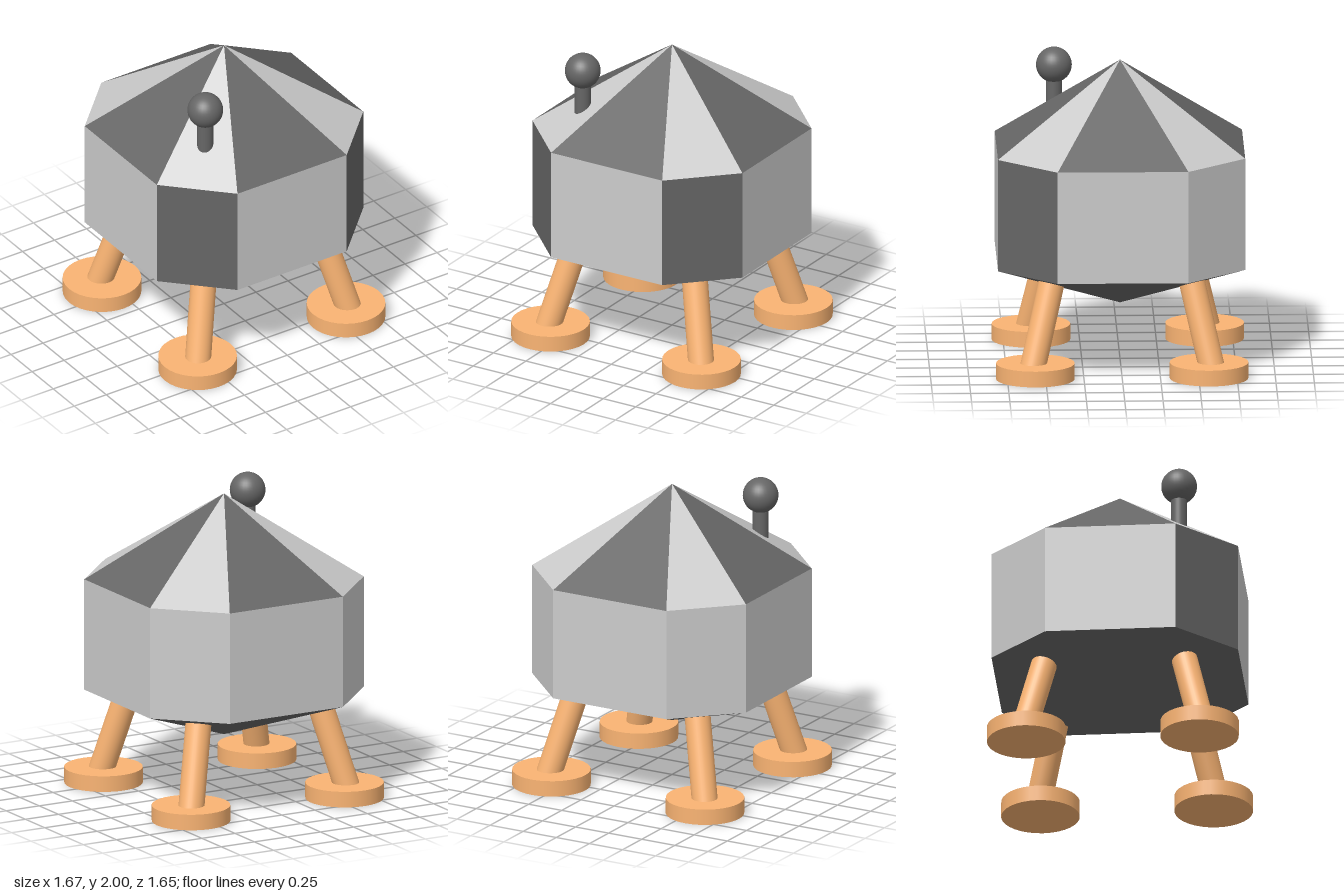
import * as THREE from 'three';

const LONG = 0.807, SHORT = 0.427;              // octagon corner coordinates
const BOTTOM = 0.375, FLOOR = 0.685, EAVES = 1.43, TOP = 2;
const PAD_X = 0.58, PAD_Z = 0.567;

// Corners counter-clockwise seen from above, starting on the front face.
const corners = [
  [-SHORT, LONG], [SHORT, LONG], [LONG, SHORT], [LONG, -SHORT],
  [SHORT, -LONG], [-SHORT, -LONG], [-LONG, -SHORT], [-LONG, SHORT],
];
const corner = (i, y) => {
  const [x, z] = corners[i % 8];
  return new THREE.Vector3(x, y, z);
};

function facetMesh(name, points, material) {
  const geometry = new THREE.BufferGeometry().setFromPoints(points);
  geometry.computeVertexNormals();
  const mesh = new THREE.Mesh(geometry, material);
  mesh.name = name;
  return mesh;
}

// Cylinder running between two points
function rod(name, from, to, radius, material) {
  const axis = to.clone().sub(from);
  const mesh = new THREE.Mesh(new THREE.CylinderGeometry(radius, radius, axis.length(), 32), material);
  mesh.position.copy(from).add(to).multiplyScalar(0.5);
  mesh.quaternion.setFromUnitVectors(new THREE.Vector3(0, 1, 0), axis.normalize());
  mesh.name = name;
  return mesh;
}

export function createModel() {
  const model = new THREE.Group();
  model.name = 'landerCapsule';
  const light = new THREE.MeshStandardMaterial({ color: 0xcccccc, flatShading: true });
  const dark = new THREE.MeshStandardMaterial({ color: 0x666666, flatShading: true });
  const antennaGrey = new THREE.MeshStandardMaterial({ color: 0x666666 });
  const orange = new THREE.MeshStandardMaterial({ color: 0xfab473 });

  // Eight-sided hull: wall panels, roof and underside, sorted by shade
  const apex = new THREE.Vector3(0, TOP, 0);
  const keel = new THREE.Vector3(0, BOTTOM, 0);
  const walls = { light: [], dark: [] }, roof = { light: [], dark: [] }, underside = [];
  for (let i = 0; i < 8; i++) {
    const a = corner(i, FLOOR), b = corner(i + 1, FLOOR);
    const c = corner(i + 1, EAVES), d = corner(i, EAVES);
    const frontDiagonal = i === 1 || i === 7;
    walls[frontDiagonal ? 'dark' : 'light'].push(a, b, c, a, c, d);
    roof[i % 2 ? 'light' : 'dark'].push(d, c, apex);
    underside.push(b, a, keel);
  }
  model.add(
    facetMesh('wallPanels', walls.light, light),
    facetMesh('frontCornerWindows', walls.dark, dark),
    facetMesh('roofCornerPanels', roof.light, light),
    facetMesh('roofMainPanels', roof.dark, dark),
    facetMesh('underside', underside, dark),
  );

  // Four splayed legs with round foot pads
  for (const sx of [-1, 1]) {
    for (const sz of [-1, 1]) {
      const leg = new THREE.Group();
      leg.name = `${sz > 0 ? 'front' : 'back'}${sx > 0 ? 'Left' : 'Right'}Leg`;
      leg.add(rod('strut',
        new THREE.Vector3(sx * 0.59, 0.07, sz * 0.585),
        new THREE.Vector3(sx * 0.46, 0.615, sz * 0.458), 0.085, orange));
      leg.add(rod('footPad',
        new THREE.Vector3(sx * PAD_X, 0, sz * PAD_Z),
        new THREE.Vector3(sx * PAD_X, 0.105, sz * PAD_Z), 0.257, orange));
      model.add(leg);
    }
  }

  // Ball-tipped antenna on the front right roof panel
  const antenna = new THREE.Group();
  antenna.name = 'antenna';
  const ball = new THREE.Mesh(new THREE.SphereGeometry(0.117, 32, 20), antennaGrey);
  ball.name = 'antennaBall';
  ball.position.set(-0.424, 1.873, 0.421);
  antenna.add(ball, rod('antennaStem',
    new THREE.Vector3(-0.424, 1.54, 0.421),
    new THREE.Vector3(-0.424, 1.82, 0.421), 0.053, antennaGrey));
  model.add(antenna);

  return model;
}
